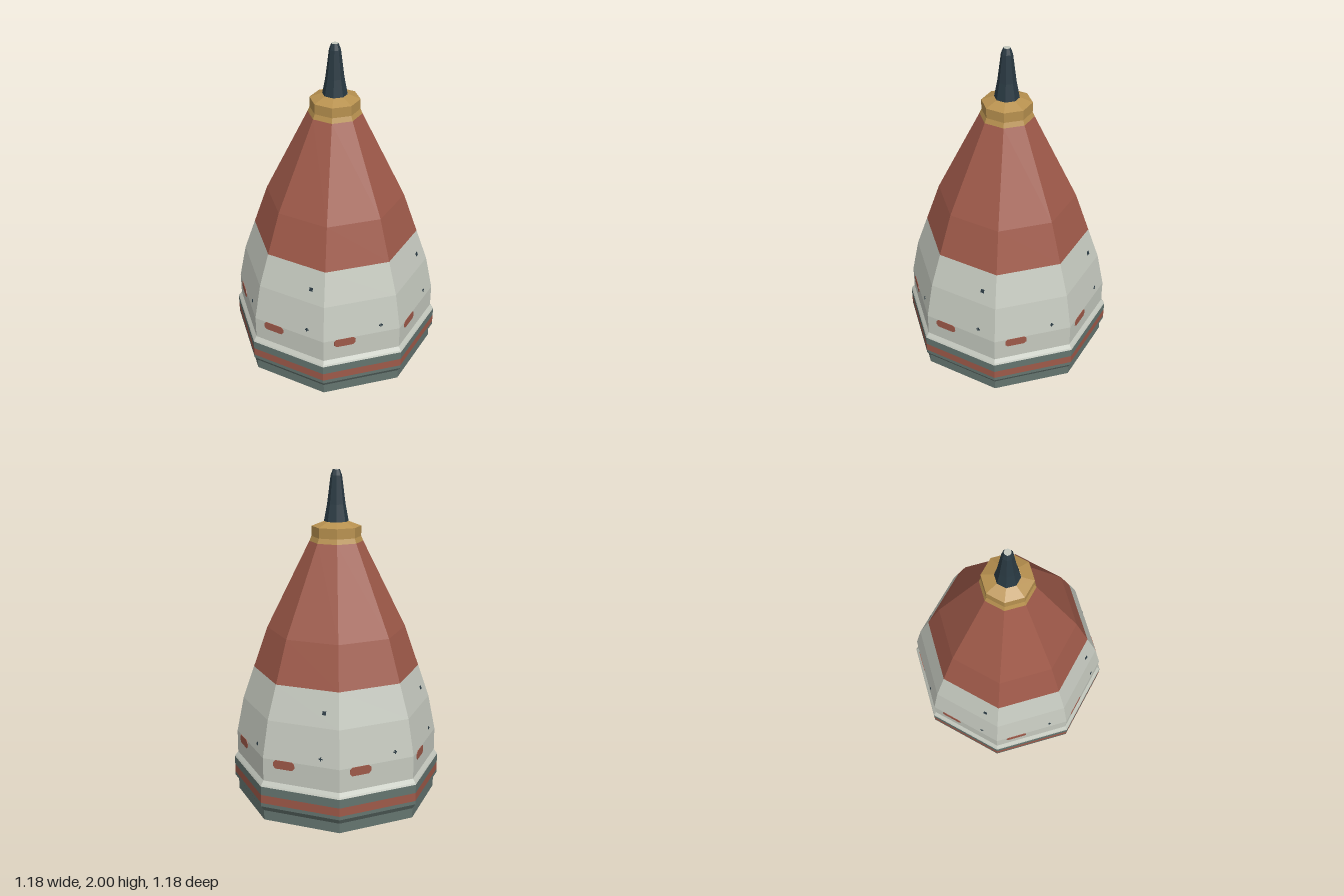
import * as THREE from 'three';

const SIDES = 8;
const toCorner = 1 / Math.cos(Math.PI / SIDES); // flat-to-flat half width -> corner radius

function paint(name, color) {
  const m = new THREE.MeshStandardMaterial({ color });
  m.name = name;
  return m;
}

// Half width of the hull at each height: [halfWidth, y]
const HULL = [[0.571, 0.25], [0.571, 0.39], [0.53, 0.61], [0.466, 0.81]];

export function createModel() {
  const group = new THREE.Group();
  const grey = paint('pale grey', 0xc4c8be);
  const red = paint('rust red', 0x9e5949);
  const teal = paint('slate green', 0x64746f);
  const gold = paint('brass', 0xb8914f);
  const dark = paint('dark blue grey', 0x2a3a43);

  // Eight-sided faceted shell from [halfWidth, y] points, bottom to top
  function shell(name, material, profile) {
    const pts = profile.map(([w, y]) => new THREE.Vector2(w * toCorner, y));
    const geo = new THREE.LatheGeometry(pts, SIDES, Math.PI / SIDES).toNonIndexed();
    geo.computeVertexNormals();
    const mesh = new THREE.Mesh(geo, material);
    mesh.name = name;
    group.add(mesh);
  }

  // Flat octagonal disc facing up or down
  function cap(name, material, w, y, up) {
    const geo = new THREE.CircleGeometry(w * toCorner, SIDES, Math.PI / SIDES);
    geo.rotateX(up ? -Math.PI / 2 : Math.PI / 2);
    const mesh = new THREE.Mesh(geo, material);
    mesh.name = name;
    mesh.position.y = y;
    group.add(mesh);
  }

  // Base ring with its painted stripe
  cap('baseUnderside', dark, 0.571, 0, false);
  shell('baseSkirt', teal, [[0.571, 0], [0.571, 0.06], [0.591, 0.092], [0.591, 0.114]]);
  shell('baseStripe', red, [[0.591, 0.114], [0.591, 0.165]]);
  shell('baseRingTop', teal, [[0.591, 0.165], [0.591, 0.218]]);
  shell('baseShoulder', grey, [[0.591, 0.218], [0.586, 0.228], [0.571, 0.25]]);

  // Hull and cone
  shell('lowerHull', grey, HULL);
  shell('upperCone', red, [[0.466, 0.81], [0.386, 1.06], [0.147, 1.583]]);

  // Collar and spike
  shell('collar', gold, [[0.147, 1.583], [0.136, 1.612], [0.136, 1.672], [0.068, 1.7]]);
  shell('spike', dark, [[0.068, 1.695], [0.05, 1.8], [0.031, 1.965], [0.019, 2]]);
  cap('spikeTip', grey, 0.019, 2, true);

  // Lay a thin plate on one hull face, tilted with the slope
  function plate(name, geo, material, face, offset, y) {
    const i = HULL.findIndex((p, k) => k < HULL.length - 1 && y < HULL[k + 1][1]);
    const [w0, y0] = HULL[i], [w1, y1] = HULL[i + 1];
    const w = THREE.MathUtils.lerp(w0, w1, (y - y0) / (y1 - y0));
    const pivot = new THREE.Group();
    pivot.name = name;
    pivot.rotation.y = face * Math.PI * 2 / SIDES;
    const mesh = new THREE.Mesh(geo, material);
    mesh.name = name + 'Plate';
    mesh.position.set(offset, y, w);
    mesh.rotation.x = -Math.atan2(w0 - w1, y1 - y0);
    pivot.add(mesh);
    group.add(pivot);
  }

  // Bevel-cornered window mark
  const a = 0.066, b = 0.026, c = 0.014;
  const outline = [[-a + c, -b], [a - c, -b], [a, -b + c], [a, b - c],
    [a - c, b], [-a + c, b], [-a, b - c], [-a, -b + c]];
  const markGeo = new THREE.ExtrudeGeometry(
    new THREE.Shape(outline.map(([x, y]) => new THREE.Vector2(x, y))),
    { depth: 0.003, bevelEnabled: false });
  const speckBar = new THREE.BoxGeometry(0.022, 0.007, 0.004);
  const speckPost = new THREE.BoxGeometry(0.007, 0.022, 0.004);
  const rivet = new THREE.BoxGeometry(0.022, 0.022, 0.004);

  for (let f = 0; f < SIDES; f++) {
    plate('windowMark', markGeo, red, f, -0.105, 0.365);
    plate('crossRivetBar', speckBar, dark, f, 0.12, 0.435);
    plate('crossRivetPost', speckPost, dark, f, 0.12, 0.435);
    if (f % 2) plate('upperRivet', rivet, dark, f, 0.12, 0.69);
  }

  return group;
}
